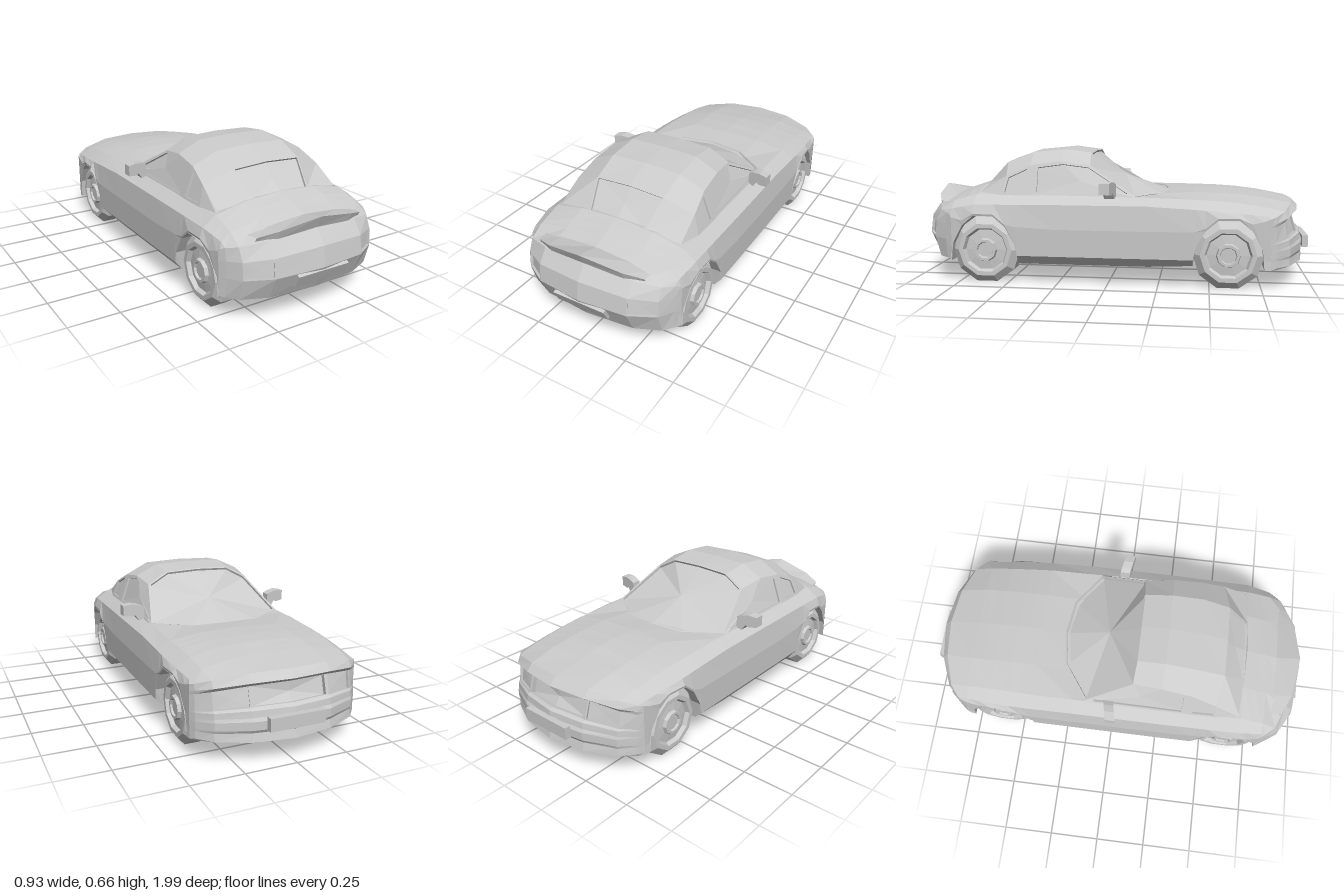
import * as THREE from 'three';

const material = new THREE.MeshStandardMaterial({ color: 0xcccccc, flatShading: true, side: THREE.DoubleSide });
const V = (x, y, z) => new THREE.Vector3(x, y, z);
const flip = (p) => V(-p.x, p.y, p.z);
const lerp = THREE.MathUtils.lerp;

// Half row (centre outwards to +x) completed to a full row from -x to +x
const full = (half) => [...half.slice(1).reverse().map(flip), ...half];

function mesh(name, geometry) {
  const m = new THREE.Mesh(geometry, material);
  m.name = name;
  return m;
}

function fromTriangles(name, points) {
  const g = new THREE.BufferGeometry().setFromPoints(points);
  g.computeVertexNormals();
  return mesh(name, g);
}

// Skin over rows of points; cells can be left open
function skin(name, rows, isOpen = () => false) {
  const t = [];
  for (let i = 0; i < rows.length - 1; i++)
    for (let j = 0; j < rows[i].length - 1; j++) {
      if (isOpen(i, j)) continue;
      const a = rows[i][j], b = rows[i + 1][j], c = rows[i + 1][j + 1], d = rows[i][j + 1];
      t.push(a, b, d, b, c, d);
    }
  return fromTriangles(name, t);
}

// Frame around a recessed pane
function recess(name, outline, k, depth) {
  let poly = outline;
  const n = poly.length, c = V(0, 0, 0), normal = V(0, 0, 0);
  poly.forEach((p, i) => {
    c.addScaledVector(p, 1 / n);
    normal.add(p.clone().cross(poly[(i + 1) % n]));
  });
  normal.normalize();
  if (normal.dot(c.clone().sub(V(0, 0.3, 0))) < 0) {
    poly = [...poly].reverse();
    normal.negate();
  }
  const inner = poly.map((p) => c.clone().lerp(p, k));
  const back = inner.map((p) => p.clone().addScaledVector(normal, -depth));
  const mid = c.clone().addScaledVector(normal, -depth);
  const t = [];
  for (let i = 0; i < n; i++) {
    const j = (i + 1) % n;
    t.push(poly[i], poly[j], inner[j], poly[i], inner[j], inner[i]);
    t.push(inner[i], inner[j], back[j], inner[i], back[j], back[i]);
    t.push(back[i], back[j], mid);
  }
  return fromTriangles(name, t);
}

// Bowed ends: columns run from the centre to the corner at |z| = 0.79
const END = 0.79, BOW = [0, 0.15, 0.5, 0.85, 1];
const NOSE = { sign: -1, xs: [0, 0.19, 0.34, 0.4, 0.415], drop: [0, 0.005, 0.03, 0.05, 0.055] };
const TAIL = { sign: 1, xs: [0, 0.24, 0.36, 0.4, 0.415], drop: [0, 0.02, 0.04, 0.05, 0.06] };
const endRow = ({ sign, xs, drop }, y, z) =>
  xs.map((x, i) => V(x, y - drop[i] * Math.max(0, (y - 0.12) / 0.285), sign * lerp(z, END, BOW[i])));

// Columns: z, flank x y, shoulder x y, top edge x y, top y at x = 0.2, centre y
const KEYS = [
  [-0.77, 0.417, 0.34, 0.402, 0.36, 0.345, 0.395, 0.425, 0.43],
  [-0.6, 0.437, 0.3, 0.42, 0.375, 0.35, 0.42, 0.445, 0.455],
  [-0.4, 0.44, 0.28, 0.425, 0.39, 0.36, 0.43, 0.45, 0.455],
  [-0.2, 0.44, 0.28, 0.425, 0.4, 0.36, 0.435, 0.435, 0.435],
  [0.25, 0.44, 0.28, 0.425, 0.4, 0.365, 0.44, 0.44, 0.44],
  [0.67, 0.437, 0.3, 0.42, 0.395, 0.355, 0.44, 0.475, 0.485],
  [0.785, 0.418, 0.33, 0.403, 0.37, 0.357, 0.405, 0.43, 0.445],
];
const ARCH = [[-0.17, 0.1], [-0.16, 0.2], [-0.11, 0.29], [-0.05, 0.34], [0.05, 0.34], [0.11, 0.29], [0.16, 0.2], [0.17, 0.11]];
const AXLES = [-0.59, 0.615];

function bodySection(z, low) {
  let i = 0;
  while (i < KEYS.length - 2 && z > KEYS[i + 1][0]) i++;
  const a = KEYS[i], b = KEYS[i + 1];
  const f = THREE.MathUtils.clamp((z - a[0]) / (b[0] - a[0]), 0, 1);
  const [, wx, wy, sx, sy, ex, ey, my, cy] = a.map((v, k) => lerp(v, b[k], f));
  const top = [V(0, cy, z), V(0.2, my, z), V(ex, ey, z), V(sx, sy, z), V(wx, Math.max(wy, low + 0.01), z)];
  return closeSection(top, low, low > 0.15 || Math.abs(z) > 0.75 ? wx : 0.4);
}

// Adds skirt, wheel well and floor below the upper half section
function closeSection(top, low, lowX) {
  const w = top[4];
  return full([...top, V(w.x - 0.003, Math.max(0.145, low), w.z), V(lowX, low, w.z),
    V(0.29, low, w.z), V(0.29, 0.1, w.z), V(0, 0.1, w.z)]);
}

function buildBody(group) {
  const stations = AXLES.flatMap((axle) => ARCH.map(([dz, y]) => [axle + dz, y]));
  for (const z of [-0.2, 0.05, 0.25]) stations.push([z, 0.1]);
  stations.sort((a, b) => a[0] - b[0]);
  const rows = stations.map(([z, low]) => bodySection(z, low));
  rows.unshift(closeSection(endRow(NOSE, 0.405, 0.92), 0.1, 0.415));
  rows.push(closeSection(endRow(TAIL, 0.4, 0.92), 0.12, 0.415));
  group.add(skin('body', rows));

  // Nose with recessed grille and headlamps
  const nose = [[0.1, 0.78], [0.1, 0.93], [0.11, 0.985], [0.15, 0.975], [0.165, 0.985], [0.205, 0.985], [0.22, 0.975],
    [0.25, 0.97], [0.26, 0.955], [0.35, 0.925], [0.37, 0.955], [0.405, 0.92]].map(([y, z]) => full(endRow(NOSE, y, z)));
  group.add(skin('noseBumper', nose, (i, j) => i === 8 && j >= 2 && j <= 5));
  addRecesses(group, nose[8], nose[9], 'headlamp', 'grille');

  // Tail with recessed lamps
  const tail = [[0.4, 0.92], [0.33, 0.975], [0.235, 0.99], [0.12, 0.935], [0.12, 0.78]].map(([y, z]) => full(endRow(TAIL, y, z)));
  group.add(skin('tailBumper', tail, (i, j) => i === 1 && (j === 2 || j === 5)));
  addRecesses(group, tail[1], tail[2], 'tailLamp');

  // Plates
  const rear = mesh('rearPlate', new THREE.BoxGeometry(0.28, 0.065, 0.016));
  rear.position.set(0, 0.195, 0.967);
  rear.rotation.x = 0.446;
  const front = mesh('nosePlate', new THREE.BoxGeometry(0.27, 0.06, 0.03));
  front.position.set(0, 0.195, -0.985);
  group.add(rear, front);

  // Raised lip on the tail deck
  const lip = (pts) => full(pts.map((p) => V(...p)));
  group.add(skin('tailSpoiler', [
    lip([[0, 0.428, 0.83], [0.2, 0.41, 0.82], [0.3, 0.39, 0.81]]),
    lip([[0, 0.457, 0.95], [0.2, 0.42, 0.92], [0.29, 0.395, 0.88]]),
    lip([[0, 0.4, 0.925], [0.2, 0.38, 0.905], [0.29, 0.375, 0.87]]),
  ]));
}

function addRecesses(group, r0, r1, lampName, middleName) {
  for (const j of [2, 5]) group.add(recess(lampName, [r0[j], r0[j + 1], r1[j + 1], r1[j]], 0.92, 0.012));
  if (middleName) group.add(recess(middleName, [...r0.slice(3, 6), ...r1.slice(3, 6).reverse()], 0.92, 0.02));
}

function buildCabin(group) {
  // Stations from windscreen base to rear window base: centre, roof edge, side top, belt
  const st = [
    [[0, 0.445, -0.29], [0.18, 0.44, -0.265], [0.355, 0.44, -0.14], [0.362, 0.435, -0.13]],
    [[0, 0.65, 0.11], [0.18, 0.643, 0.11], [0.285, 0.585, 0.1], [0.365, 0.435, 0.1]],
    [[0, 0.665, 0.25], [0.185, 0.66, 0.25], [0.3, 0.605, 0.25], [0.365, 0.435, 0.25]],
    [[0, 0.65, 0.41], [0.19, 0.643, 0.41], [0.312, 0.585, 0.4], [0.365, 0.437, 0.4]],
    [[0, 0.6, 0.55], [0.185, 0.59, 0.55], [0.33, 0.53, 0.52], [0.362, 0.438, 0.54]],
    [[0, 0.487, 0.67], [0.155, 0.475, 0.665], [0.335, 0.45, 0.65], [0.345, 0.435, 0.66]],
  ].map((s) => s.map((p) => V(...p)));
  const row = (i, n = 3) => full(st[i].slice(0, n));
  group.add(skin('roof', [1, 2, 3, 4].map((i) => row(i))));
  group.add(recess('windscreen', [...row(0), ...row(1).reverse()], 0.96, 0.012));
  group.add(recess('rearWindow', [...row(4, 2), ...row(5, 2).reverse()], 0.97, 0.012));
  const s = (i) => st[i][2], b = (i) => st[i][3];
  const door = [b(0), b(3), s(3), s(2), s(1), s(0)];
  const quarter = [b(3), b(4), s(4), s(3)];
  for (const side of [(p) => p, flip]) {
    group.add(recess('doorWindow', door.map(side), 0.84, 0.01));
    group.add(recess('quarterWindow', quarter.map(side), 0.78, 0.01));
    const pillar = [4, 5].map((i) => st[i].slice(1).map(side));
    group.add(skin('rearPillar', side === flip ? pillar.map((r) => r.reverse()) : pillar));
  }
}

// Ten-sided wheel turned around its axle: radius, distance from the car's centre
function wheelGeometry(side) {
  const profile = [[0, 0.305], [0.173, 0.305], [0.173, 0.38], [0.137, 0.41], [0.115, 0.41], [0.105, 0.39],
    [0.06, 0.395], [0.055, 0.412], [0.042, 0.412], [0.038, 0.402], [0, 0.402]];
  const g = new THREE.LatheGeometry(profile.map((p) => new THREE.Vector2(...p)), 10);
  return g.rotateZ(-side * Math.PI / 2);
}

// Mirror pod with a short stalk, swept back towards its tip
function mirrorGeometry() {
  const outline = [[0.355, 0.44], [0.385, 0.43], [0.405, 0.46], [0.42, 0.452], [0.463, 0.457], [0.463, 0.51], [0.42, 0.516], [0.385, 0.51], [0.36, 0.5]];
  const g = new THREE.ExtrudeGeometry(new THREE.Shape(outline.map((p) => new THREE.Vector2(...p))), { depth: 0.05, bevelEnabled: false });
  const p = g.attributes.position;
  for (let i = 0; i < p.count; i++) p.setZ(i, p.getZ(i) - 0.04 + (p.getX(i) - 0.36) * 0.2);
  return g;
}

export function createModel() {
  const car = new THREE.Group();
  car.name = 'car';
  buildBody(car);
  buildCabin(car);
  for (const side of [1, -1]) {
    for (const z of AXLES) {
      const wheel = mesh(z < 0 ? 'noseWheel' : 'tailWheel', wheelGeometry(side));
      wheel.position.set(0, 0.165, z);
      car.add(wheel);
    }
    const mirror = mesh('sideMirror', mirrorGeometry());
    mirror.scale.x = side;
    car.add(mirror);
  }
  return car;
}
